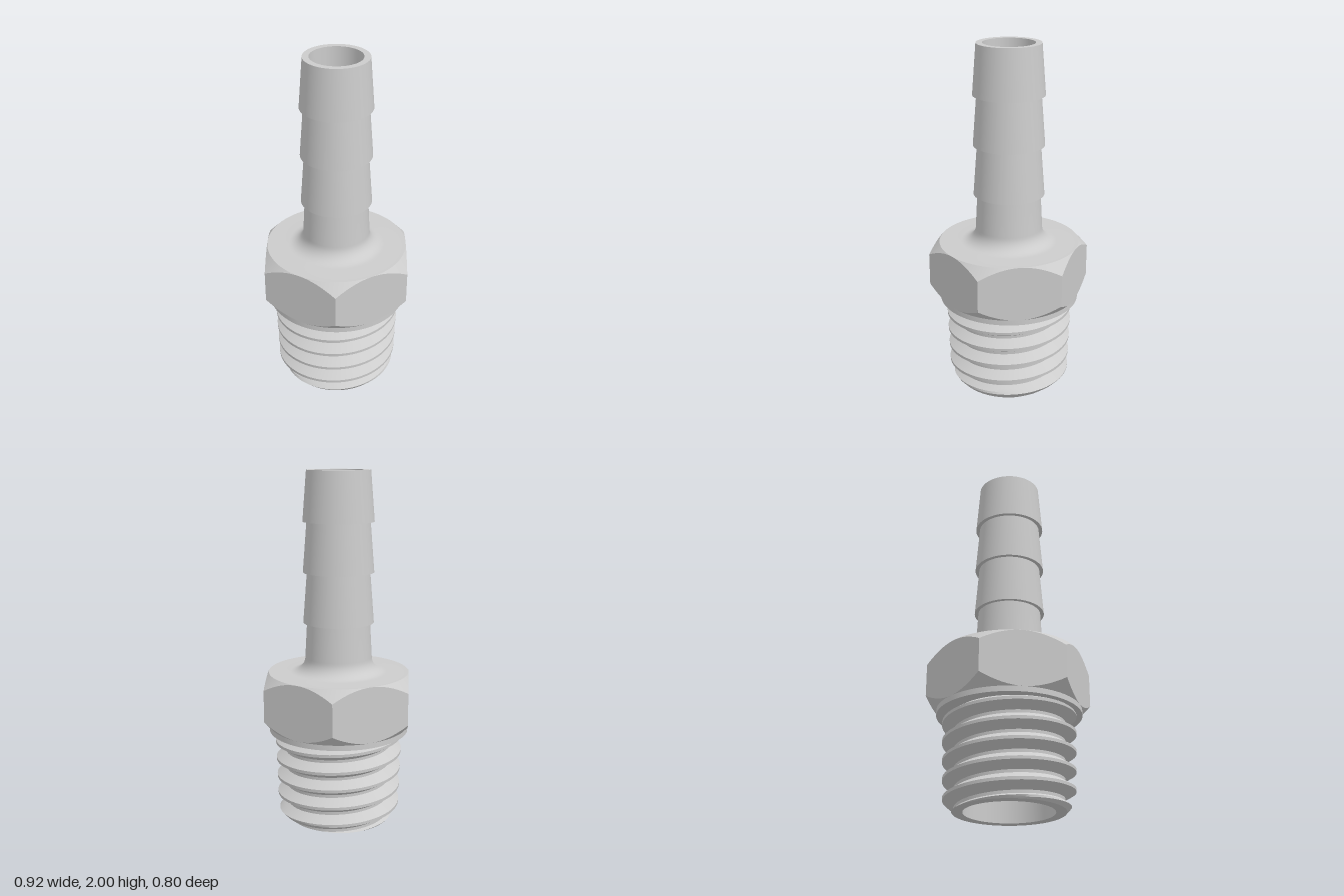
import * as THREE from 'three';
import { toCreasedNormals } from 'three/addons/utils/BufferGeometryUtils.js';

const SEGMENTS = 96;
const material = new THREE.MeshStandardMaterial({ color: 0xcccccc });

function addMesh(group, name, geometry, crease = 0.4) {
  const mesh = new THREE.Mesh(toCreasedNormals(geometry, crease), material);
  mesh.name = name;
  group.add(mesh);
}

function lathe(points) {
  return new THREE.LatheGeometry(points.map(([r, y]) => new THREE.Vector2(r, y)), SEGMENTS);
}

// Wraps a grid around the y axis; rule(angle, row) returns [radius, y].
function wrap(rows, rule) {
  const geometry = new THREE.PlaneGeometry(1, 1, SEGMENTS, rows);
  const pos = geometry.attributes.position;
  for (let i = 0; i < pos.count; i++) {
    const column = i % (SEGMENTS + 1);
    const row = rows - Math.floor(i / (SEGMENTS + 1));
    const angle = (column / SEGMENTS) * Math.PI * 2;
    const [r, y] = rule(angle, row);
    pos.setXYZ(i, r * Math.cos(angle), y, -r * Math.sin(angle));
  }
  return geometry;
}

// Tapered right-hand thread with a chamfered lower end
function threadGeometry() {
  const pitch = 0.104, top = 0.525, crestY = 0.463, turns = 8;
  const stops = [-0.42, -0.08, 0.08, 0.42, 0.58]; // root, flank, crest, flank, root
  const phases = [];
  for (let i = 0; i < 4; i++) {
    for (let k = 0; k < 3; k++) phases.push(THREE.MathUtils.lerp(stops[i], stops[i + 1], k / 3));
  }
  return wrap(turns * phases.length, (angle, row) => {
    const start = crestY - 6 * pitch + (pitch * angle) / (Math.PI * 2);
    const turn = Math.floor(row / phases.length);
    const y = THREE.MathUtils.clamp(start + pitch * (turn + phases[row % phases.length]), 0, top);
    const f = (y - start) / pitch;
    const fromCrest = Math.abs(f - Math.round(f));
    const height = THREE.MathUtils.clamp((0.42 - fromCrest) / 0.34, 0, 1);
    const r = 0.293 + 0.031 * y + 0.058 * height;
    return [Math.min(r, 0.303 + 0.9 * y), y];
  });
}

// Hexagonal nut with corners turned off at both ends
function hexGeometry() {
  const flat = 0.4, low = 0.555, high = 0.87;
  return wrap(3, (angle, row) => {
    const r = flat / Math.cos((angle % (Math.PI / 3)) - Math.PI / 6);
    const drop = (r - flat) * 1.06;
    return [[flat, low], [r, low + drop], [r, high - drop], [flat, high]][row];
  });
}

export function createModel() {
  const group = new THREE.Group();
  group.name = 'hoseFitting';

  addMesh(group, 'pipeThread', threadGeometry(), 0.5);
  addMesh(group, 'hexNut', hexGeometry());
  addMesh(group, 'collar', lathe([[0.29, 0.525], [0.4, 0.525], [0.4, 0.555]]));

  // Nut top, fillet, neck and three hose barbs
  const stem = [[0.4, 0.87]];
  for (let i = 0; i <= 10; i++) {
    const a = (i / 10) * Math.PI / 2;
    stem.push([0.275 - 0.085 * Math.sin(a), 0.955 - 0.085 * Math.cos(a)]);
  }
  stem.push([0.179, 1.155]);
  for (const [bottom, top] of [[1.155, 1.44], [1.44, 1.72], [1.72, 2]]) {
    stem.push([0.2, bottom], [0.178, top]);
  }
  stem.push([0.143, 2]);
  addMesh(group, 'barbedStem', lathe(stem));

  // Stepped through-bore and the rim at the threaded end
  addMesh(group, 'bore', lathe([[0.143, 2], [0.143, 0.62], [0.245, 0.56], [0.245, 0], [0.303, 0]]));

  return group;
}
